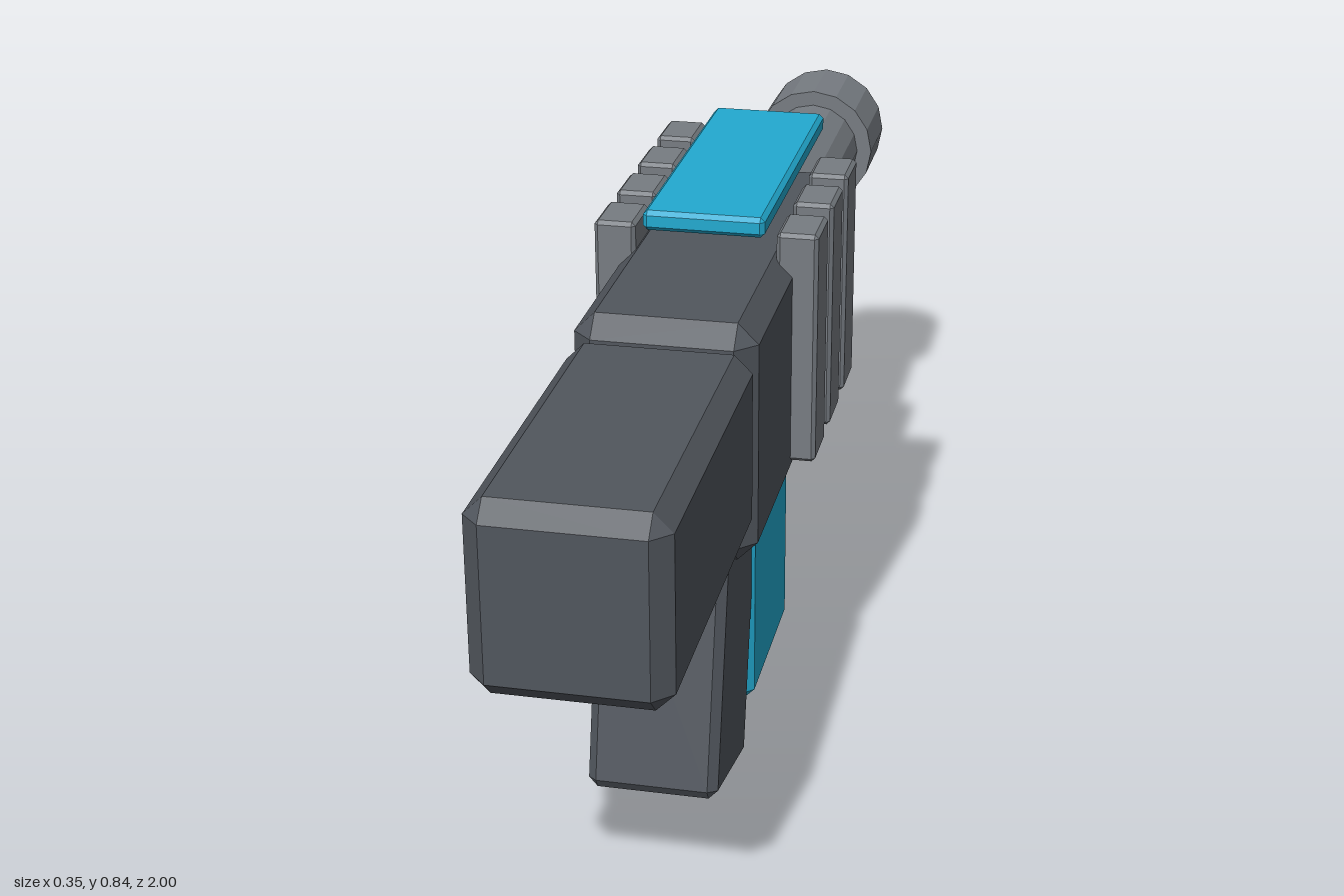
import * as THREE from 'three';
import { ConvexGeometry } from 'three/addons/geometries/ConvexGeometry.js';

const mat = (color) => new THREE.MeshStandardMaterial({ color, flatShading: true });

// Box with chamfered edges and triangular corner facets
function chamferBox(w, h, d, c) {
  const half = [w / 2, h / 2, d / 2];
  const points = [];
  for (const sx of [-1, 1]) for (const sy of [-1, 1]) for (const sz of [-1, 1]) {
    const s = [sx, sy, sz];
    for (let full = 0; full < 3; full++) {
      points.push(new THREE.Vector3(...half.map((v, i) => s[i] * (i === full ? v : v - c))));
    }
  }
  return new ConvexGeometry(points);
}

export function createModel() {
  const model = new THREE.Group();
  model.name = 'blaster';
  const dark = mat(0x51565d);
  const grey = mat(0x777c82);
  const blue = mat(0x22aad0);

  const add = (name, geometry, material, x, y, z) => {
    const mesh = new THREE.Mesh(geometry, material);
    mesh.name = name;
    mesh.position.set(x, y, z);
    model.add(mesh);
    return mesh;
  };

  // Receiver and stock
  add('receiver', chamferBox(0.273, 0.38, 0.743, 0.031), dark, 0, 0.585, 0.08);
  add('stock', chamferBox(0.273, 0.283, 0.56, 0.027), dark, 0, 0.604, 0.72);

  // Raked grip
  const grip = add('grip', chamferBox(0.2, 0.45, 0.236, 0.014), dark, 0, 0.244, 0.389);
  grip.rotation.x = -0.23;

  // Magazine and sight plate
  add('magazine', chamferBox(0.21, 0.36, 0.296, 0.013), blue, 0, 0.253, 0.14);
  add('topPlate', chamferBox(0.19, 0.032, 0.55, 0.007), blue, 0, 0.825, -0.11);

  // Barrel and muzzle
  const tube = (r, length) => new THREE.CylinderGeometry(r, r, length, 16).rotateX(Math.PI / 2);
  add('barrel', tube(0.086, 0.62), grey, 0, 0.624, -0.56);
  add('muzzle', tube(0.113, 0.152), grey, 0, 0.624, -0.924);

  // Side ribs: three on the left, four on the right
  const rib = chamferBox(0.065, 0.38, 0.097, 0.006);
  for (const [side, count, name] of [[1, 3, 'leftRib'], [-1, 4, 'rightRib']]) {
    for (let i = 0; i < count; i++) {
      add(name + (i + 1), rib, grey, side * 0.143, 0.624, 0.101 - i * 0.144);
    }
  }
  return model;
}
